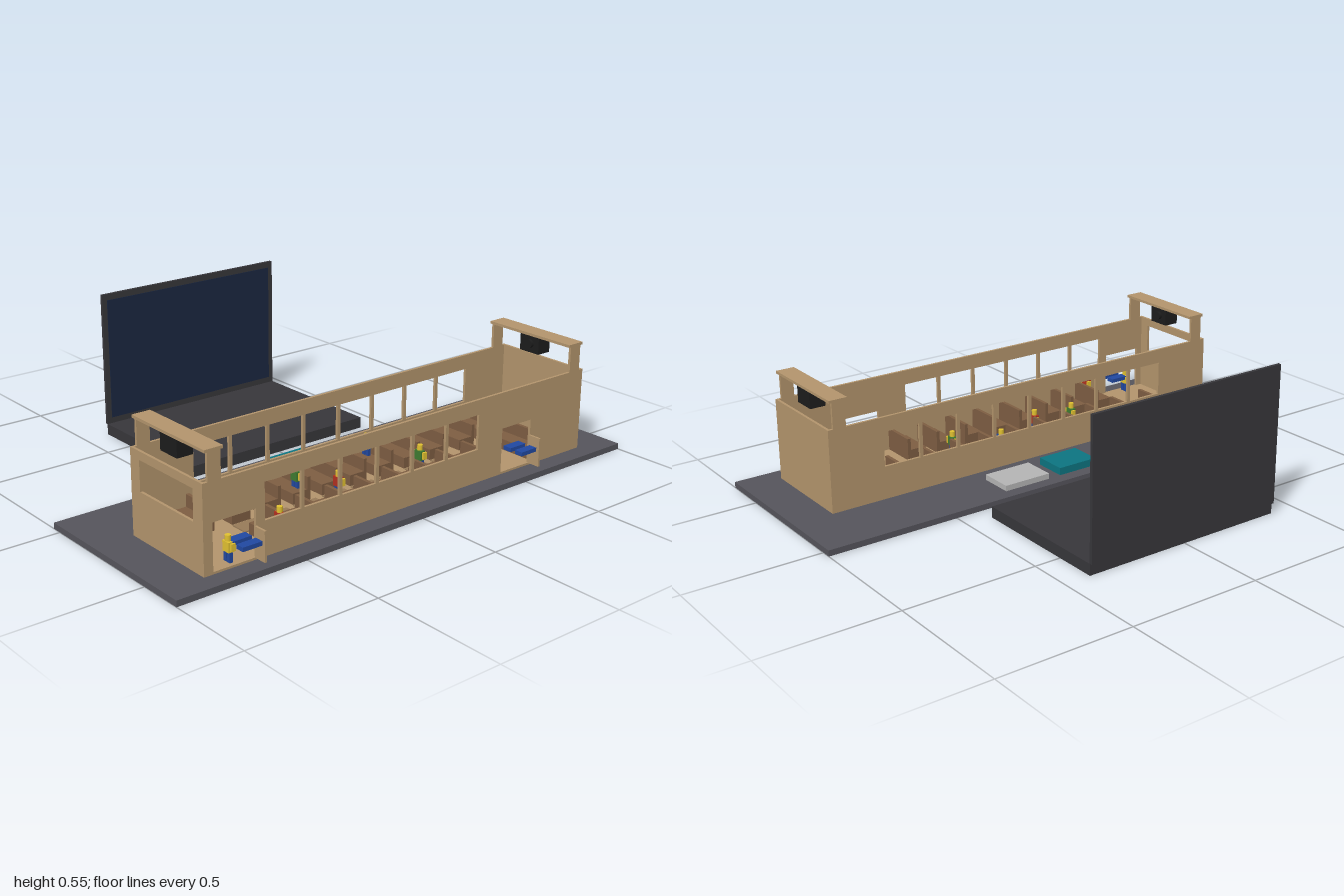
import * as THREE from 'three';

const mat = (color) => new THREE.MeshStandardMaterial({ color });
const TAN = mat(0xb2946c), BROWN = mat(0x7d5d42), AISLE = mat(0x977a58), SLATE = mat(0x55545b),
  DARK = mat(0x37363a), BLACK = mat(0x1c1c1c), NAVY = mat(0x1a2740), BLUE = mat(0x2148a0),
  TEAL = mat(0x0c7480), GREY = mat(0xb4b4b4), YELLOW = mat(0xe0c030), RED = mat(0xb03020), GREEN = mat(0x3f7a30);

// Box given by its minimum and maximum on each axis
function box(parent, name, material, x0, x1, y0, y1, z0, z1) {
  const mesh = new THREE.Mesh(new THREE.BoxGeometry(x1 - x0, y1 - y0, z1 - z0), material);
  mesh.position.set((x0 + x1) / 2, (y0 + y1) / 2, (z0 + z1) / 2);
  mesh.name = name;
  parent.add(mesh);
  return mesh;
}

// Upright panel with rectangular openings [u0, u1, v0, v1]
function wall(parent, name, u0, u1, openings) {
  const rect = (C, a, b, c, d) => {
    const p = new C();
    p.moveTo(a, c); p.lineTo(b, c); p.lineTo(b, d); p.lineTo(a, d); p.closePath();
    return p;
  };
  const shape = rect(THREE.Shape, u0, u1, 0.022, 0.33);
  for (const o of openings) shape.holes.push(rect(THREE.Path, ...o));
  const mesh = new THREE.Mesh(new THREE.ExtrudeGeometry(shape, { depth: 0.01, bevelEnabled: false }), TAN);
  mesh.name = name;
  parent.add(mesh);
  return mesh;
}

function bench(parent, x, z0, z1) {
  const g = new THREE.Group();
  g.name = 'bench';
  box(g, 'benchSeat', BROWN, x, x + 0.063, 0.03, 0.07, z0, z1);
  box(g, 'benchBack', BROWN, x + 0.063, x + 0.076, 0.03, 0.115, z0, z1);
  parent.add(g);
}

function person(parent, x, z, base, shirt, trousers) {
  const g = new THREE.Group();
  g.name = 'passenger';
  for (const s of [-1, 1])
    box(g, 'leg', trousers, -0.006, 0.006, 0, 0.035, s * 0.009 - 0.007, s * 0.009 + 0.007);
  box(g, 'torso', shirt, -0.01, 0.01, 0.035, 0.07, -0.016, 0.016);
  for (const s of [-1, 1])
    box(g, 'arm', YELLOW, -0.004, 0.012, 0.04, 0.066, s * 0.02 - 0.004, s * 0.02 + 0.004);
  const head = new THREE.Mesh(new THREE.CylinderGeometry(0.01, 0.01, 0.02, 12), YELLOW);
  head.position.y = 0.081;
  head.name = 'head';
  g.add(head);
  g.position.set(x, base, z);
  parent.add(g);
}

// Beam on two posts with a hanging projector; side is the end of the carriage
function gantry(parent, side) {
  const g = new THREE.Group();
  g.name = 'gantry';
  box(g, 'beam', TAN, -0.035, 0.035, 0.425, 0.435, 0.21, 0.6);
  for (const z of [0.21, 0.59]) box(g, 'post', TAN, -0.025, 0.025, 0.33, 0.425, z, z + 0.01);
  box(g, 'projector', BLACK, -0.03, 0.03, 0.36, 0.425, 0.36, 0.45);
  const lens = new THREE.Mesh(new THREE.CylinderGeometry(0.016, 0.016, 0.012, 20), BLACK);
  lens.rotation.z = Math.PI / 2;
  lens.position.set(0.036, 0.395, 0.4);
  lens.name = 'lens';
  g.add(lens);
  g.rotation.y = side > 0 ? Math.PI : 0;
  g.position.set(side * 0.805, 0, side > 0 ? 0.81 : 0);
  parent.add(g);
}

export function createModel() {
  const model = new THREE.Group();
  model.name = 'carriageAndLaptop';
  box(model, 'groundPlate', SLATE, -1, 1, 0, 0.022, -0.037, 0.67);

  // Carriage shell
  const car = new THREE.Group();
  car.name = 'carriage';
  model.add(car);
  box(car, 'floor', TAN, -0.84, 0.84, 0.022, 0.03, 0.22, 0.59);
  const windows = (n) => Array.from({ length: n }, (_, i) =>
    [-0.615 + 0.158 * i, -0.47 + 0.158 * i, 0.145, 0.275]);
  const doors = [[-0.815, -0.65, 0.03, 0.195], [0.44, 0.585, 0.03, 0.195]];
  wall(car, 'frontWall', -0.85, 0.85, [...windows(6), ...doors]).position.z = 0.59;
  wall(car, 'backWall', -0.85, 0.85, windows(8)).position.z = 0.21;
  const rightEnd = wall(car, 'windscreenWall', -0.59, -0.22, [[-0.55, -0.26, 0.19, 0.3]]);
  rightEnd.rotation.y = Math.PI / 2;
  rightEnd.position.x = -0.85;
  box(car, 'endWall', TAN, 0.84, 0.85, 0.022, 0.33, 0.22, 0.59);
  for (const side of [-1, 1]) gantry(car, side);

  // Benches and aisle mats
  for (let i = 0; i < 8; i++) {
    const x = -0.565 + 0.127 * i;
    bench(car, x, 0.22, 0.36);
    bench(car, x, 0.45, 0.59);
    box(car, 'aisleMat', AISLE, x - 0.005, x + 0.093, 0.03, 0.034, 0.368, 0.436);
  }
  bench(car, -0.712, 0.22, 0.36);
  bench(car, 0.473, 0.22, 0.36);
  bench(car, 0.605, 0.22, 0.585);

  // Open door leaves with blue ledges inside and outside
  for (const x of [-0.65, 0.585]) {
    box(car, 'doorLeaf', TAN, x - 0.005, x + 0.003, 0.03, 0.137, 0.6, 0.65);
    box(car, 'innerLedge', BLUE, x - 0.08, x - 0.005, 0.085, 0.1, 0.55, 0.585);
    box(car, 'outerLedge', BLUE, x - 0.08, x - 0.005, 0.085, 0.1, 0.605, 0.638);
  }

  // Passengers
  person(car, -0.735, 0.568, 0.03, YELLOW, BLUE);
  person(car, -0.52, 0.553, 0.06, RED, BLUE);
  person(car, -0.265, 0.32, 0.06, GREEN, BLUE);
  person(car, -0.145, 0.4, 0.034, RED, BLUE);
  person(car, 0.115, 0.25, 0.06, BLUE, BLUE);
  person(car, 0.235, 0.4, 0.034, GREEN, BLUE);

  // Boxes beside the carriage
  box(model, 'tealBox', TEAL, -0.145, 0.018, 0.022, 0.05, 0.012, 0.138);
  box(model, 'greyBox', GREY, 0.07, 0.26, 0.022, 0.043, 0.01, 0.14);

  // Laptop
  const laptop = new THREE.Group();
  laptop.name = 'laptop';
  model.add(laptop);
  box(laptop, 'laptopBase', DARK, -0.4, 0.4, 0, 0.042, -0.66, -0.105);
  box(laptop, 'laptopLid', DARK, -0.4, 0.4, 0.042, 0.553, -0.67, -0.658);
  box(laptop, 'screen', NAVY, -0.38, 0.38, 0.065, 0.53, -0.66, -0.656);
  return model;
}
